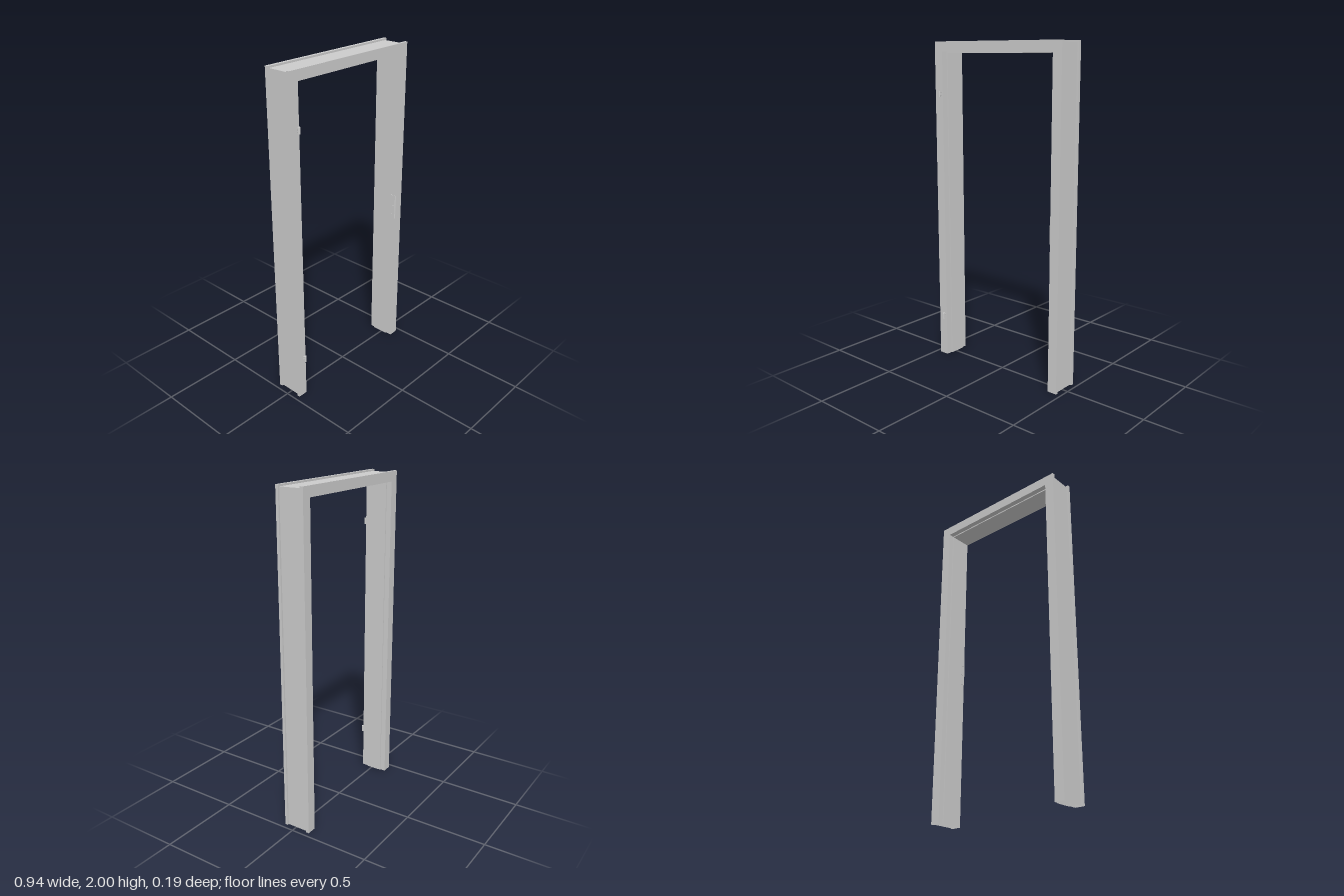
import * as THREE from 'three';

const metal = new THREE.MeshStandardMaterial({ color: 0xcccccc, side: THREE.DoubleSide });

const HALF_WIDTH = 0.47, HEIGHT = 2, FRONT = 0.075, BACK = -0.098;

function add(parent, name, geometry, x = 0, y = 0, z = 0) {
  const mesh = new THREE.Mesh(geometry, metal);
  mesh.name = name;
  mesh.position.set(x, y, z);
  parent.add(mesh);
  return mesh;
}

// Hollow pressed section: [inset from the outer edge, z]
const profile = [
  [0, BACK], [0, -0.079], [0.011, -0.079], [0.011, 0.058],
  [0, 0.058], [0, FRONT], [0.06, FRONT], [0.06, 0.036],
  [0.067, 0.036], [0.067, -0.066], [0.06, -0.066], [0.06, BACK],
];

// Sweep the section along one member, with mitred corners
function memberGeometry(start, end) {
  const positions = [];
  const count = profile.length;
  for (let i = 0; i < count; i++) {
    const p = profile[i], q = profile[(i + 1) % count];
    const a = start(...p), b = start(...q), c = end(...q), d = end(...p);
    positions.push(...a, ...b, ...c, ...a, ...c, ...d);
  }
  const geometry = new THREE.BufferGeometry();
  geometry.setAttribute('position', new THREE.Float32BufferAttribute(positions, 3));
  geometry.computeVertexNormals();
  return geometry;
}

// Hinge: upright knuckle with two pins into the frame face
function createHinge(y) {
  const hinge = new THREE.Group();
  hinge.name = 'hinge';
  hinge.position.set(-0.424, y, FRONT);
  add(hinge, 'hingeKnuckle', new THREE.CylinderGeometry(0.007, 0.007, 0.038, 20), 0, 0, 0.0135);
  for (const side of [-1, 1]) {
    const pin = add(hinge, 'hingePin', new THREE.CylinderGeometry(0.0035, 0.0035, 0.012, 12), 0, side * 0.009, 0.004);
    pin.rotation.x = Math.PI / 2;
  }
  return hinge;
}

// Strike plate: thin plate with latch and bolt openings, and a curved lip
function createStrikePlate() {
  const strike = new THREE.Group();
  strike.name = 'strikePlate';
  strike.position.set(0.41, 0.97, 0);

  const rectangle = (path, x0, x1, y0, y1) =>
    path.moveTo(x0, y0).lineTo(x1, y0).lineTo(x1, y1).lineTo(x0, y1).closePath();
  const plate = rectangle(new THREE.Shape(), -0.074, -0.042, -0.08, 0.08);
  for (const [low, high] of [[-0.05, -0.015], [0.01, 0.045]]) {
    plate.holes.push(rectangle(new THREE.Path(), -0.065, -0.05, low, high));
  }
  const plateMesh = add(strike, 'strikeSheet', new THREE.ExtrudeGeometry(plate, { depth: 0.003, bevelEnabled: false }));
  plateMesh.rotation.y = Math.PI / 2;
  plateMesh.position.x = -0.0035;

  // Lip drawn in plan, curling over the front edge
  const lip = new THREE.Shape();
  lip.moveTo(-0.0035, -0.072);
  lip.quadraticCurveTo(-0.0035, -0.077, 0.003, -0.0775);
  lip.lineTo(0.003, -0.075);
  lip.lineTo(-0.0005, -0.072);
  lip.closePath();
  const lipMesh = add(strike, 'strikeLip', new THREE.ExtrudeGeometry(lip, { depth: 0.15, bevelEnabled: false }), 0, -0.075, 0);
  lipMesh.rotation.x = -Math.PI / 2;
  return strike;
}

export function createModel() {
  const group = new THREE.Group();
  group.name = 'doorFrame';

  // Stations along the U-shaped frame
  const foot = side => (d, z) => [side * (HALF_WIDTH - d), 0, z];
  const corner = side => (d, z) => [side * (HALF_WIDTH - d), HEIGHT - d, z];

  add(group, 'rightJamb', memberGeometry(foot(-1), corner(-1)));
  add(group, 'head', memberGeometry(corner(-1), corner(1)));
  add(group, 'leftJamb', memberGeometry(corner(1), foot(1)));

  for (const y of [0.266, 1.69]) group.add(createHinge(y));
  group.add(createStrikePlate());
  return group;
}
